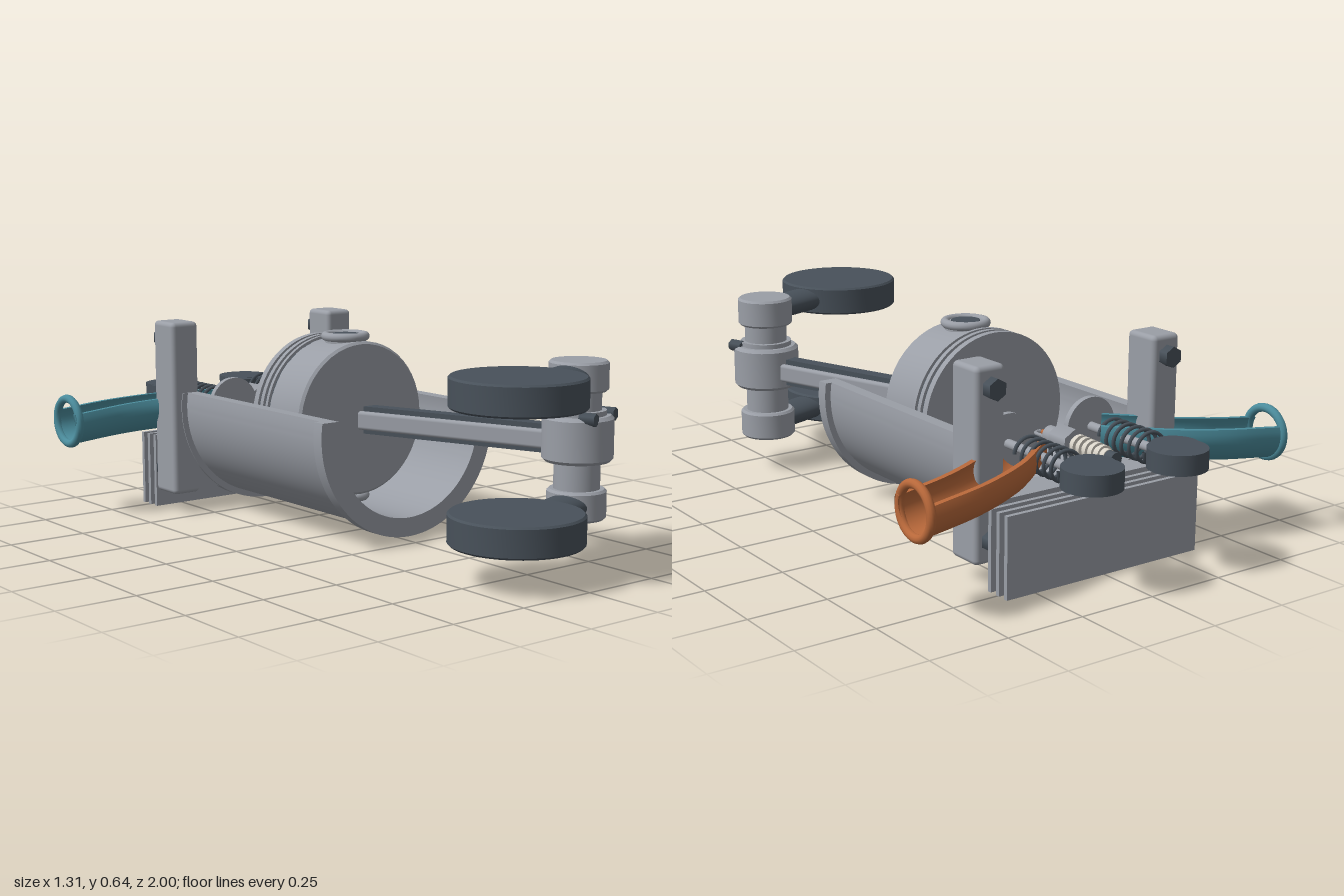
import * as THREE from 'three';
import { toCreasedNormals } from 'three/addons/utils/BufferGeometryUtils.js';
import { RoundedBoxGeometry } from 'three/addons/geometries/RoundedBoxGeometry.js';

const AXIS = 0.355; // height of the cylinder bore axis

function material(name, color) {
  const m = new THREE.MeshStandardMaterial({ color, side: THREE.DoubleSide });
  m.name = name;
  return m;
}

export function createModel() {
  const model = new THREE.Group();
  model.name = 'cutawayEngine';
  const steel = material('steel grey', 0x9a9ea6);
  const dark = material('dark slate', 0x48515a);
  const copper = material('copper orange', 0xb8683a);
  const teal = material('teal', 0x4b8c9c);
  const ceramic = material('ceramic white', 0xd8d3c8);

  const add = (name, geo, mat, x = 0, y = 0, z = 0) => {
    const m = new THREE.Mesh(geo, mat);
    m.name = name;
    m.position.set(x, y, z);
    model.add(m);
    return m;
  };
  // round part standing upright from y0 to y1
  const upright = (name, r, y0, y1, mat, x, z, seg = 48) =>
    add(name, new THREE.CylinderGeometry(r, r, y1 - y0, seg), mat, x, (y0 + y1) / 2, z);
  // round part lying along z from z0 to z1
  const lying = (name, r, z0, z1, mat, x = 0, y = AXIS, seg = 48) => {
    const m = add(name, new THREE.CylinderGeometry(r, r, z1 - z0, seg), mat, x, y, (z0 + z1) / 2);
    m.rotation.x = Math.PI / 2;
    return m;
  };
  // lathe outline with small chamfers
  const chamfered = (r, h, b) => {
    const pts = [[0, -h / 2], [r - b, -h / 2], [r, -h / 2 + b], [r, h / 2 - b], [r - b, h / 2], [0, h / 2]];
    const g = new THREE.LatheGeometry(pts.map(p => new THREE.Vector2(...p)), 48);
    return toCreasedNormals(g, 0.5);
  };

  // Cylinder barrel, cut open a little above its axis
  const trough = (name, ro, ri, z0, z1) => {
    const cut = 0.05, a = Math.asin(cut / ro), b = Math.asin(cut / ri);
    const s = new THREE.Shape();
    s.absarc(0, 0, ro, Math.PI - a, 2 * Math.PI + a, false);
    s.absarc(0, 0, ri, 2 * Math.PI + b, Math.PI - b, true);
    const g = new THREE.ExtrudeGeometry(s, { depth: z1 - z0, bevelEnabled: false, curveSegments: 48 });
    add(name, toCreasedNormals(g, 0.5), steel, 0, AXIS, z0);
  };
  trough('barrel', 0.32, 0.28, -0.56, 0.2);
  trough('frontFlange', 0.34, 0.28, 0.18, 0.22);
  trough('rearFlange', 0.34, 0.28, -0.59, -0.55);

  // Cylinder head: lower block, upright posts with bolts, cooling fins
  add('headBlock', new THREE.BoxGeometry(0.58, 0.17, 0.11), steel, 0, 0.16, -0.615);
  for (const s of [-1, 1]) {
    add('headPost', new RoundedBoxGeometry(0.1, 0.575, 0.12, 3, 0.015), steel, s * 0.32, 0.352, -0.613);
    for (const y of [0.135, 0.578]) lying('headBolt', 0.032, -0.705, -0.67, dark, s * 0.32, y, 6);
  }
  for (const z of [-0.712, -0.75, -0.787])
    add('coolingFin', new THREE.BoxGeometry(0.7, 0.245, 0.014), steel, 0, 0.1225, z);

  // Piston with rings and wrist pin
  const skirt = add('pistonSkirt', chamfered(0.247, 0.17, 0.008), steel, 0, AXIS, -0.105);
  skirt.rotation.x = Math.PI / 2;
  lying('pistonCore', 0.247, -0.255, -0.18, dark);
  for (const [z0, z1] of [[-0.196, -0.184], [-0.225, -0.209], [-0.26, -0.238]])
    lying('pistonLand', 0.255, z0, z1, steel, 0, AXIS, 64);
  upright('wristPin', 0.066, 0.09, 0.618, steel, 0, -0.105);
  for (const y of [0.094, 0.613]) {
    const ring = add('wristPinRim', new THREE.TorusGeometry(0.064, 0.014, 12, 40), steel, 0, y, -0.105);
    ring.rotation.x = Math.PI / 2;
  }
  upright('wristPinBore', 0.045, 0.087, 0.621, dark, 0, -0.105);

  // Connecting rod: dark web between two steel rails
  const bigX = 0.28, bigZ = 0.665;
  const rod = new THREE.Group();
  rod.name = 'connectingRod';
  rod.position.set(0, 0.35, -0.105);
  rod.rotation.y = Math.atan2(bigX, bigZ + 0.105);
  model.add(rod);
  const rodPart = (name, geo, mat, x, y, z) => {
    const m = add(name, geo, mat, x, y, z);
    rod.add(m);
    return m;
  };
  rodPart('rodWeb', new THREE.BoxGeometry(0.045, 0.088, 0.66), dark, 0, 0, 0.41);
  for (const s of [-1, 1]) {
    rodPart('rodRail', new RoundedBoxGeometry(0.024, 0.06, 0.7, 3, 0.011), steel, s * 0.032, 0, 0.41);
    const bolt = rodPart('rodCapBolt', new THREE.CylinderGeometry(0.02, 0.02, 0.05, 6), dark, s * 0.07, 0.078, 0.885);
    bolt.rotation.x = Math.PI / 2;
  }
  add('rodBigEnd', chamfered(0.108, 0.14, 0.01), steel, bigX, 0.36, bigZ);
  upright('rodBigEndCollar', 0.085, 0.42, 0.445, steel, bigX, bigZ);

  // Crankshaft: pin, journals, webs and counterweights
  upright('crankPin', 0.07, 0.15, 0.55, steel, bigX, bigZ);
  for (const y of [0.16, 0.547]) {
    add('crankJournal', chamfered(0.09, 0.092, 0.007), steel, bigX, y, bigZ);
    add('counterweight', chamfered(0.197, 0.092, 0.006), dark, -0.092, y, 0.8);
    const arm = new THREE.Group();
    arm.name = 'crankArm';
    arm.position.set(0.1, y, 0.73);
    arm.rotation.y = Math.atan2(0.135, 0.372);
    model.add(arm);
    const bar = add('crankArmBar', new THREE.CylinderGeometry(0.038, 0.038, 0.35, 32), dark);
    bar.rotation.z = Math.PI / 2;
    bar.scale.z = 1.7;
    arm.add(bar);
  }

  // Valves with springs and cams
  class Coil extends THREE.Curve {
    getPoint(t, v = new THREE.Vector3()) {
      const a = t * Math.PI * 12;
      return v.set(0.046 * Math.cos(a), 0.046 * Math.sin(a), -0.2 * t);
    }
  }
  const coil = new THREE.TubeGeometry(new Coil(), 180, 0.006, 6);
  for (const s of [-1, 1]) {
    const x = s * 0.155;
    lying('valveHead', 0.09, -0.534, -0.515, steel, x);
    lying('valveStem', 0.014, -0.84, -0.52, steel, x);
    lying('springSeat', 0.03, -0.836, -0.82, dark, x, AXIS, 24);
    add('valveSpring', coil, dark, x, AXIS, -0.625);
    upright('cam', 0.088, 0.326, 0.386, dark, x, -0.914);
    upright('camLobe', 0.07, 0.327, 0.385, dark, x - 0.024, -0.878);
  }

  // Spark plug
  lying('plugThread', 0.028, -0.575, -0.53, steel, 0, AXIS, 24);
  lying('plugHex', 0.045, -0.65, -0.575, steel, 0, AXIS, 6);
  lying('plugInsulator', 0.022, -0.8, -0.64, ceramic, 0, AXIS, 24);
  for (let i = 0; i < 5; i++)
    lying('plugRib', 0.033 - i * 0.001, -0.678 - i * 0.026, -0.664 - i * 0.026, ceramic, 0, AXIS, 24);
  lying('plugTerminal', 0.02, -0.832, -0.797, dark, 0, AXIS, 24);
  lying('plugElectrode', 0.008, -0.53, -0.498, copper, 0, AXIS, 12);
  const hook = new THREE.CatmullRomCurve3([[0.025, -0.53], [0.026, -0.5], [0.015, -0.488], [0, -0.487]]
    .map(([x, z]) => new THREE.Vector3(x, AXIS, z)));
  add('plugHook', new THREE.TubeGeometry(hook, 12, 0.006, 6), steel);

  // Intake and exhaust ports: thick open channels swept along a curve
  const port = (name, side, mat) => {
    const path = new THREE.CatmullRomCurve3([
      [0.15, 0.358, -0.585], [0.22, 0.356, -0.645], [0.31, 0.349, -0.705], [0.46, 0.335, -0.756], [0.645, 0.315, -0.775],
    ].map(([x, y, z]) => new THREE.Vector3(side * x, y, z)));
    const section = [], half = 20, cut = 0.03, ro = 0.079, ri = 0.064;
    for (const [r, flip] of [[ro, false], [ri, true]]) {
      const a = Math.asin(cut / r);
      for (let i = 0; i <= half; i++) {
        const t = (flip ? half - i : i) / half;
        const q = Math.PI - a + t * (Math.PI + 2 * a);
        section.push([r * Math.cos(q), r * Math.sin(q)]);
      }
    }
    const n = section.length, rings = 28, pos = [], index = [];
    for (let k = 0; k <= rings; k++) {
      const p = path.getPointAt(k / rings), t = path.getTangentAt(k / rings);
      const across = new THREE.Vector3().crossVectors(t, new THREE.Vector3(0, 1, 0)).normalize();
      const up = new THREE.Vector3().crossVectors(across, t);
      for (const [u, v] of section) {
        const w = p.clone().addScaledVector(across, u).addScaledVector(up, v);
        pos.push(w.x, w.y, w.z);
      }
    }
    for (let k = 0; k < rings; k++)
      for (let i = 0; i < n; i++) {
        const a = k * n + i, b = k * n + (i + 1) % n;
        index.push(a, b, a + n, b, b + n, a + n);
      }
    for (let i = 0; i < half; i++) { // inner end cap
      const j = n - 1 - i;
      index.push(i, j, i + 1, i + 1, j, j - 1);
    }
    const g = new THREE.BufferGeometry();
    g.setAttribute('position', new THREE.Float32BufferAttribute(pos, 3));
    g.setIndex(index);
    add(name, toCreasedNormals(g, 0.6), mat);
    const rim = add(name + 'Rim', new THREE.TorusGeometry(0.075, 0.0135, 12, 48), mat, side * 0.64, 0.314, -0.775);
    rim.rotation.y = Math.PI / 2;
  };
  port('exhaustPort', 1, copper);
  port('intakePort', -1, teal);

  return model;
}
